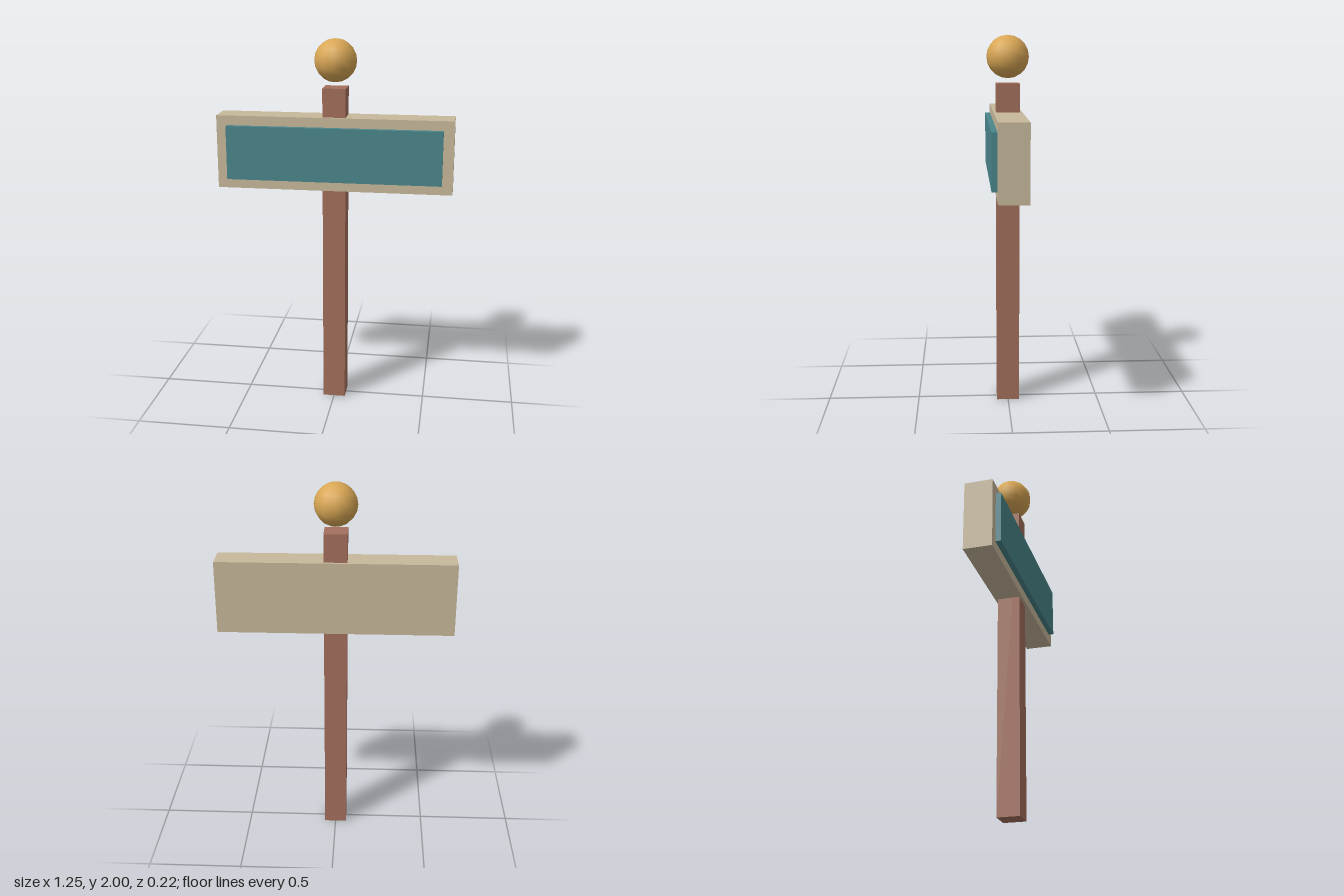
import * as THREE from 'three';

const material = (name, color) => {
  const m = new THREE.MeshStandardMaterial({ color });
  m.name = name;
  return m;
};

export function createModel() {
  const wood = material('brown wood', 0xa4705c);
  const cream = material('cream board', 0xc8b99b);
  const teal = material('teal panel', 0x4a868c);
  const gold = material('gold', 0xd9a755);

  const model = new THREE.Group();
  model.name = 'signpost';

  const add = (name, geometry, mat, y, z = 0) => {
    const mesh = new THREE.Mesh(geometry, mat);
    mesh.name = name;
    mesh.position.set(0, y, z);
    model.add(mesh);
  };

  // Square post running up through the board
  add('post', new THREE.BoxGeometry(0.122, 1.75, 0.122), wood, 0.875);

  // Sign board with a raised panel on its front
  add('signBoard', new THREE.BoxGeometry(1.25, 0.39, 0.152), cream, 1.405);
  add('signPanel', new THREE.BoxGeometry(1.138, 0.286, 0.04), teal, 1.406, 0.085);

  // Ball floating just above the post
  add('finialBall', new THREE.SphereGeometry(0.112, 12, 10), gold, 1.888);

  return model;
}
